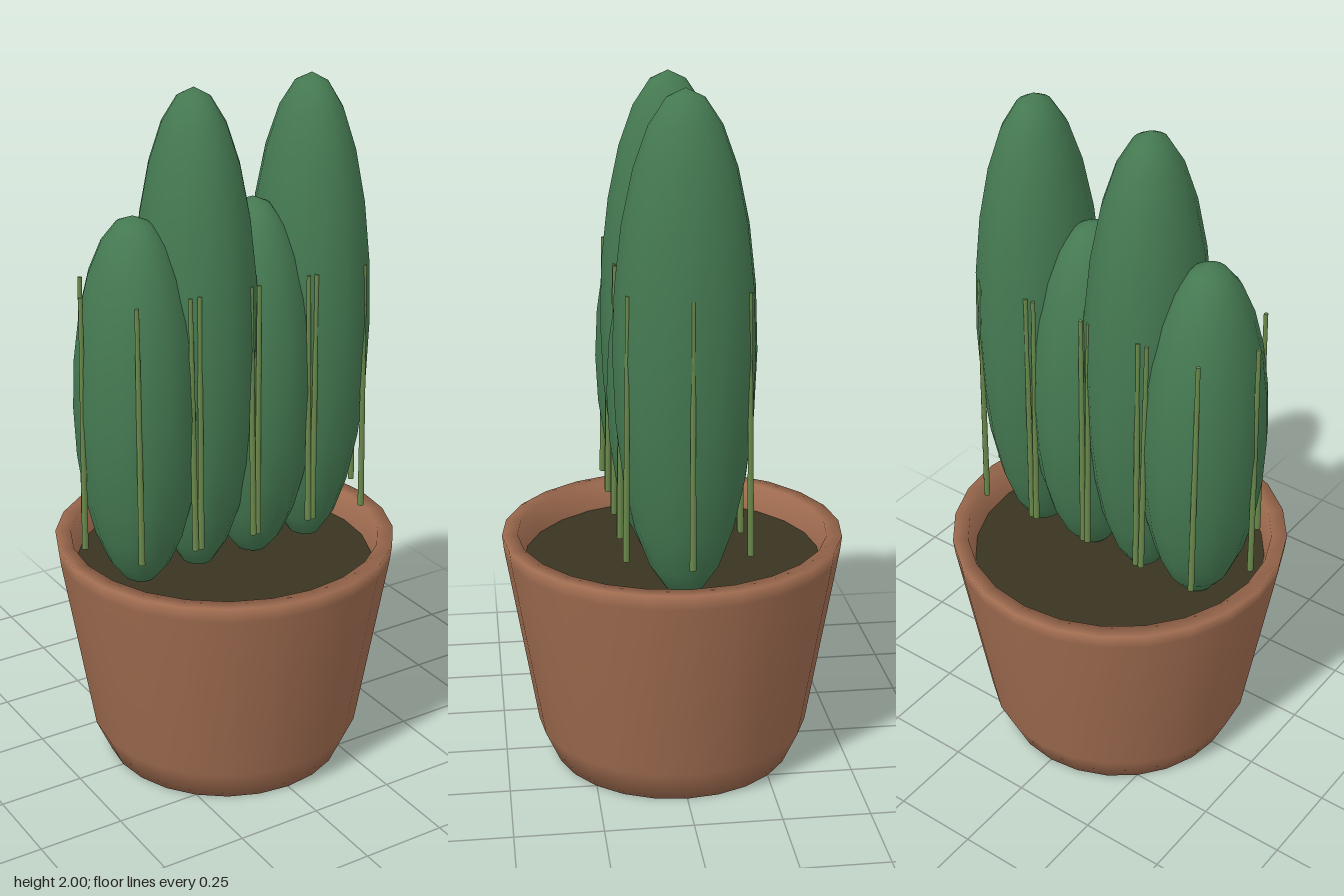
import * as THREE from 'three';

const material = (name, color) => {
  const m = new THREE.MeshStandardMaterial({ color });
  m.name = name;
  return m;
};

export function createModel() {
  const terracotta = material('terracotta', 0xa06c50);
  const earth = material('earth', 0x3a3422);
  const green = material('cactus green', 0x457a52);
  const spineGreen = material('spine green', 0x6b8a4c);

  const model = new THREE.Group();
  model.name = 'pottedCactus';
  const add = (parent, name, geometry, mat) => {
    const mesh = new THREE.Mesh(geometry, mat);
    mesh.name = name;
    parent.add(mesh);
    return mesh;
  };

  // Pot: bevelled foot, flared wall, flat rim and inner wall
  const profile = [
    [0, 0], [0.355, 0], [0.4, 0.1], [0.49, 0.645], [0.495, 0.69],
    [0.45, 0.69], [0.43, 0.6],
  ].map(([r, y]) => new THREE.Vector2(r, y));
  add(model, 'pot', new THREE.LatheGeometry(profile, 24), terracotta);

  // Soil disc just below the rim
  const soil = add(model, 'soil', new THREE.CircleGeometry(0.432, 24), earth);
  soil.rotation.x = -Math.PI / 2;
  soil.position.y = 0.61;

  // Four overlapping stems, alternating short and tall
  const rx = 0.17, rz = 0.195, base = 0.6;
  const stemGeometry = new THREE.SphereGeometry(1, 16, 12);
  const spineGeometry = new THREE.CylinderGeometry(0.006, 0.009, 1, 6);
  const up = new THREE.Vector3(0, 1, 0);

  [[-0.285, 1.68], [-0.095, 2], [0.092, 1.68], [0.28, 2]].forEach(([x, top], i) => {
    const column = new THREE.Group();
    column.name = `column${i + 1}`;
    column.position.x = x;
    model.add(column);

    const stem = add(column, 'stem', stemGeometry, green);
    stem.scale.set(rx, (top - base) / 2, rz);
    stem.position.y = (top + base) / 2;

    // Six upright spines around each stem, leaning slightly inward
    for (let k = 0; k < 6; k++) {
      const a = (k * Math.PI) / 3;
      const at = (s, y) => new THREE.Vector3(s * rx * Math.cos(a), y, s * rz * Math.sin(a));
      const low = at(1.01, 0.745), high = at(0.95, 1.48);
      const dir = high.clone().sub(low);
      const spine = add(column, 'spine', spineGeometry, spineGreen);
      spine.scale.y = dir.length();
      spine.position.copy(low).add(high).multiplyScalar(0.5);
      spine.quaternion.setFromUnitVectors(up, dir.normalize());
    }
  });

  return model;
}
